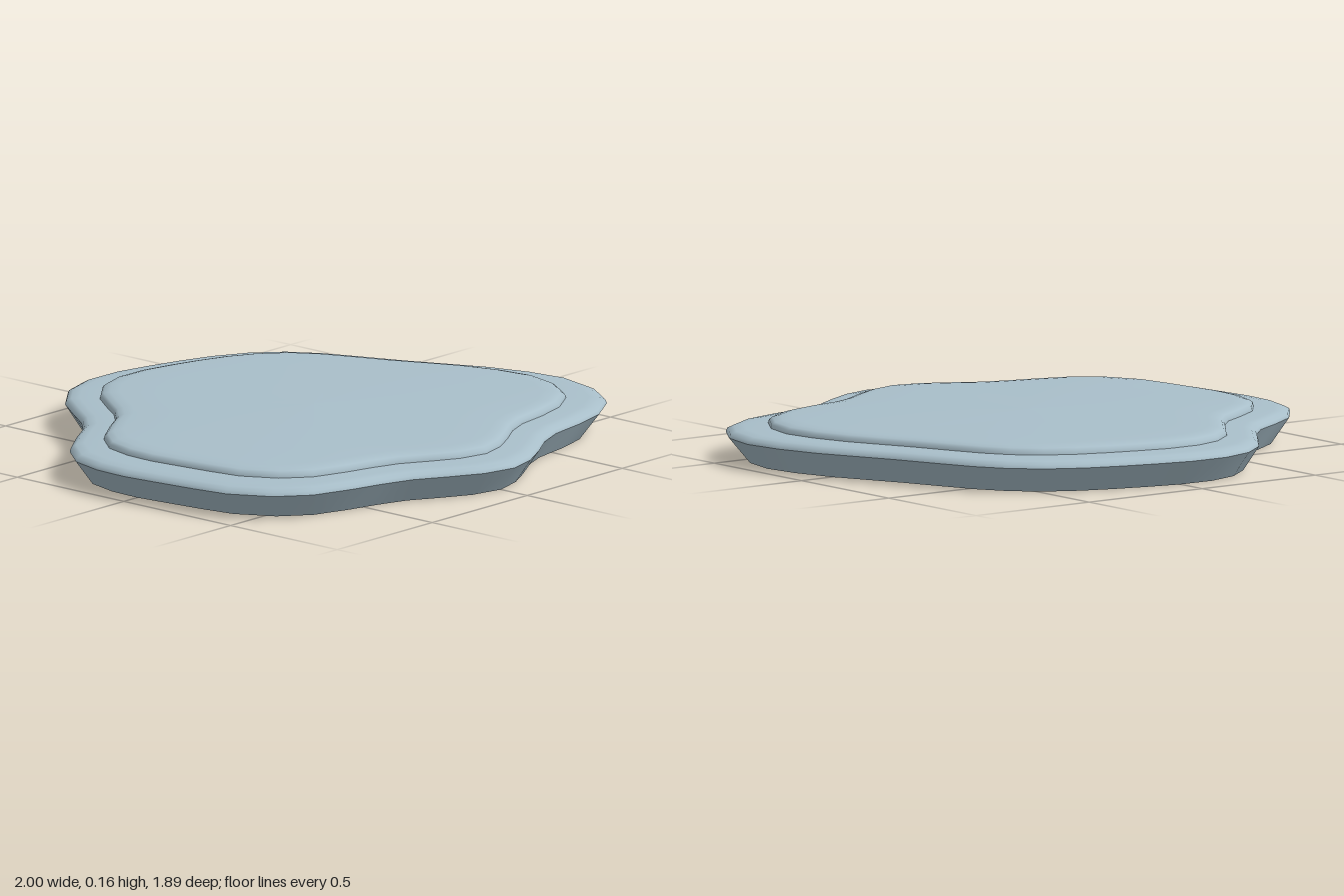
import * as THREE from 'three';

// Wavy outline seen from above, as x, z pairs running round from the back
const OUTLINE = [
  0, -0.943, 0.13, -0.915, 0.26, -0.88, 0.39, -0.835, 0.51, -0.77, 0.61, -0.68, 0.68, -0.57,
  0.74, -0.43, 0.80, -0.28, 0.87, -0.13, 0.93, 0, 0.98, 0.16, 1.0, 0.31, 0.965, 0.46,
  0.88, 0.59, 0.75, 0.67, 0.60, 0.71, 0.45, 0.735, 0.34, 0.78, 0.23, 0.85, 0.12, 0.91,
  0, 0.943, -0.13, 0.915, -0.25, 0.85, -0.36, 0.785, -0.48, 0.745, -0.60, 0.715, -0.75, 0.665,
  -0.86, 0.575, -0.94, 0.43, -0.965, 0.29, -0.985, 0.13, -1.0, 0, -0.995, -0.13, -0.96, -0.26,
  -0.87, -0.37, -0.75, -0.45, -0.63, -0.52, -0.55, -0.6, -0.48, -0.7, -0.395, -0.815,
  -0.28, -0.905, -0.15, -0.945,
];
const COUNT = OUTLINE.length / 2;

// Stacks scaled copies of the outline; each ring is [scale, height]
function loft(rings) {
  const positions = [];
  const index = [];
  rings.forEach(([scale, y], r) => {
    for (let i = 0; i < COUNT; i++) {
      positions.push(OUTLINE[2 * i] * scale, y, OUTLINE[2 * i + 1] * scale);
      if (r === 0) continue;
      const next = (i + 1) % COUNT;
      const low = (r - 1) * COUNT;
      const high = r * COUNT;
      if (rings[r - 1][0] > 0) index.push(low + i, high + i, low + next);
      if (scale > 0) index.push(low + next, high + i, high + next);
    }
  });
  const geometry = new THREE.BufferGeometry();
  geometry.setAttribute('position', new THREE.Float32BufferAttribute(positions, 3));
  geometry.setIndex(index);
  geometry.computeVertexNormals();
  return geometry;
}

export function createModel() {
  const model = new THREE.Group();
  model.name = 'steppingStone';
  const stone = new THREE.MeshStandardMaterial({ color: 0xa9bfca });
  stone.name = 'paleBlueStone';

  // Separate strips keep the edges between them sharp
  const parts = {
    underside: [[0, 0], [0.93, 0]],
    slopedSide: [[0.93, 0], [1, 0.09]],
    lowerTier: [[1, 0.09], [0.995, 0.103], [0.975, 0.113], [0.94, 0.117], [0.86, 0.119]],
    upperTier: [
      [0.86, 0.119], [0.857, 0.132], [0.845, 0.141], [0.82, 0.147], [0.78, 0.15],
      [0.6, 0.154], [0.3, 0.157], [0, 0.159],
    ],
  };
  for (const [name, rings] of Object.entries(parts)) {
    const mesh = new THREE.Mesh(loft(rings), stone);
    mesh.name = name;
    model.add(mesh);
  }
  return model;
}
